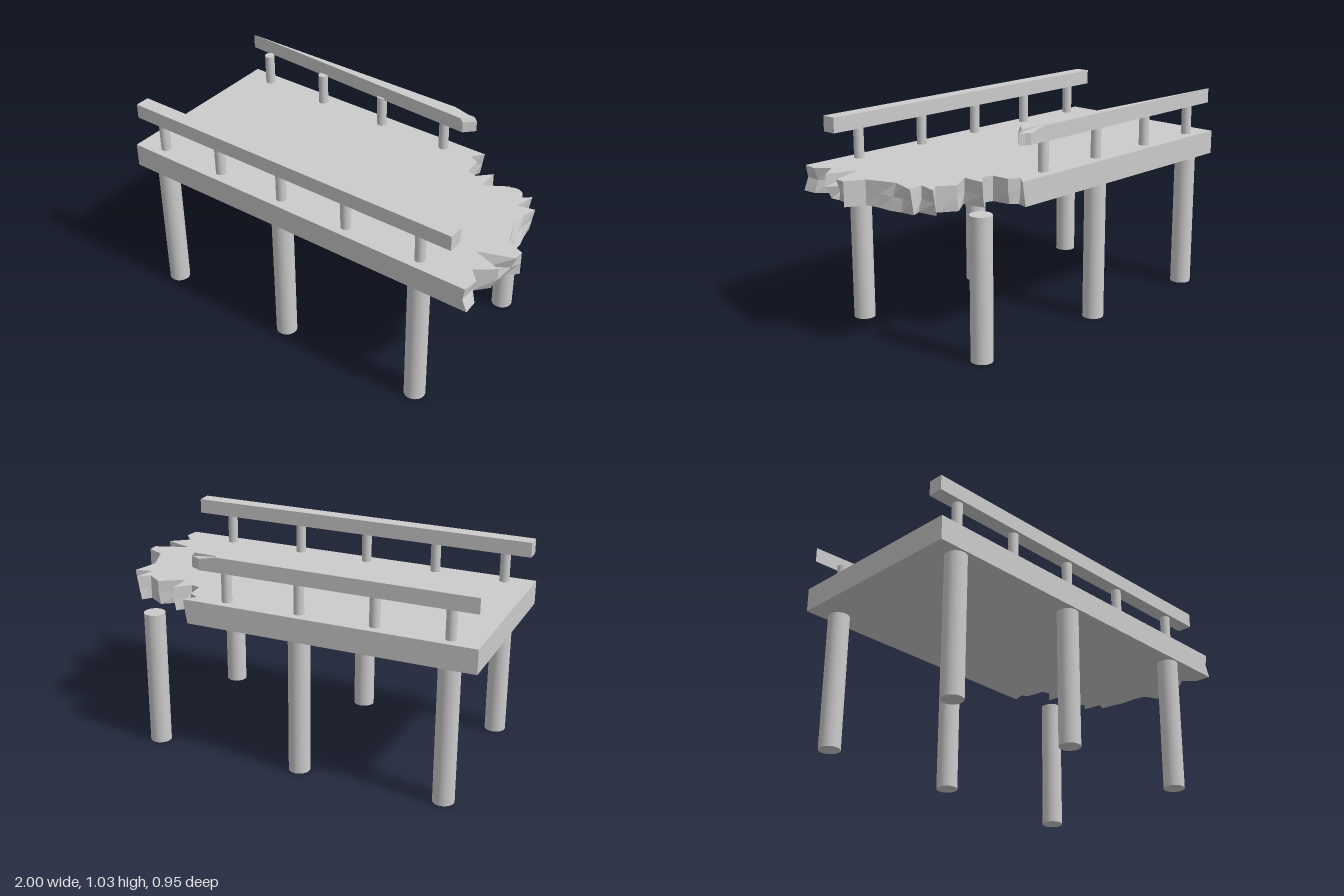
import * as THREE from 'three';

const material = new THREE.MeshStandardMaterial({ color: 0xcccccc, flatShading: true });
const smooth = new THREE.MeshStandardMaterial({ color: 0xcccccc });

// Solid between stacked outlines; rings run top to bottom, each { y, pts: [[x, z], ...] }
function slab(rings) {
  const pos = [];
  const n = rings[0].pts.length;
  const at = (r, i) => [rings[r].pts[i % n][0], rings[r].y, rings[r].pts[i % n][1]];
  const tri = (a, b, c) => pos.push(...a, ...b, ...c);
  for (let r = 0; r < rings.length - 1; r++) {
    for (let i = 0; i < n; i++) {
      tri(at(r, i), at(r, i + 1), at(r + 1, i + 1));
      tri(at(r, i), at(r + 1, i + 1), at(r + 1, i));
    }
  }
  const cap = (r, up) => {
    const contour = rings[r].pts.map(([x, z]) => new THREE.Vector2(x, z));
    for (const [a, b, c] of THREE.ShapeUtils.triangulateShape(contour, [])) {
      if (up) tri(at(r, a), at(r, c), at(r, b));
      else tri(at(r, a), at(r, b), at(r, c));
    }
  };
  cap(0, true);
  cap(rings.length - 1, false);
  const geo = new THREE.BufferGeometry();
  geo.setAttribute('position', new THREE.Float32BufferAttribute(pos, 3));
  geo.computeVertexNormals();
  return geo;
}

export function createModel() {
  const group = new THREE.Group();
  const add = (name, geo, mat, x = 0, y = 0, z = 0) => {
    const mesh = new THREE.Mesh(geo, mat);
    mesh.name = name;
    mesh.position.set(x, y, z);
    group.add(mesh);
  };

  // Deck: broken end as [x, z, shift of x at mid height, shift of x at the bottom]
  const broken = [
    [0.46, -0.475, -0.01, -0.02], [0.415, -0.42, 0, 0.01], [0.465, -0.39, 0, -0.01],
    [0.47, -0.3, 0, 0], [0.52, -0.285, 0, 0], [0.585, -0.35, 0, -0.01],
    [0.585, -0.235, 0, 0.01], [0.7, -0.305, 0, -0.01], [0.775, -0.25, 0, 0],
    [0.83, -0.29, -0.01, -0.02], [0.805, -0.19, 0, 0.02], [0.89, -0.21, -0.01, -0.02],
    [0.87, -0.14, 0, 0.01], [0.855, -0.08, 0.02, 0.04], [0.885, 0, 0, 0.01],
    [0.91, 0.065, 0, 0], [1, 0.11, 0, 0], [1, 0.16, -0.02, -0.05],
    [0.83, 0.22, 0.06, 0.11], [0.975, 0.27, 0, -0.03], [0.885, 0.34, 0, 0],
    [0.94, 0.4, -0.02, 0], [0.93, 0.475, -0.01, 0.015],
  ];
  const outline = (k) => [
    [-1, -0.475],
    ...broken.map((p) => [p[0] + (k ? p[k + 1] : 0), p[1]]),
    [-1, 0.475],
  ];
  add('deck', slab([
    { y: 0.81, pts: outline(0) },
    { y: 0.75, pts: outline(1) },
    { y: 0.69, pts: outline(2) },
  ]), material);

  // Handrails: the front one is whole, the back one is snapped off
  add('frontRail', new THREE.BoxGeometry(1.825, 0.075, 0.075), material, -0.0775, 0.9975, 0.4125);
  const railTop = [[-0.99, -0.45], [0.29, -0.45], [0.29, -0.432], [0.415, -0.425], [0.365, -0.375]];
  const railBottom = [[-0.99, -0.45], [0.38, -0.45], [0.4, -0.435], [0.43, -0.425], [0.38, -0.375]];
  add('backRail', slab([
    { y: 1.035, pts: railTop },
    { y: 1.015, pts: railBottom },
    { y: 0.96, pts: railBottom },
  ]), material);

  // Rail posts and supporting piles
  const postGeo = new THREE.CylinderGeometry(0.025, 0.025, 0.17, 24);
  const pileGeo = new THREE.CylinderGeometry(0.0525, 0.0525, 0.69, 32);
  for (const side of [1, -1]) {
    const label = side > 0 ? 'front' : 'back';
    const posts = [-0.855, -0.495, -0.12, 0.255];
    if (side > 0) posts.push(0.66);
    posts.forEach((x, i) => add(`${label}RailPost${i + 1}`, postGeo, smooth, x, 0.885, side * 0.4125));
    [-0.855, -0.12, 0.66].forEach((x, i) =>
      add(`${label}Pile${i + 1}`, pileGeo, smooth, x, 0.345, side * 0.4125));
  }
  return group;
}
